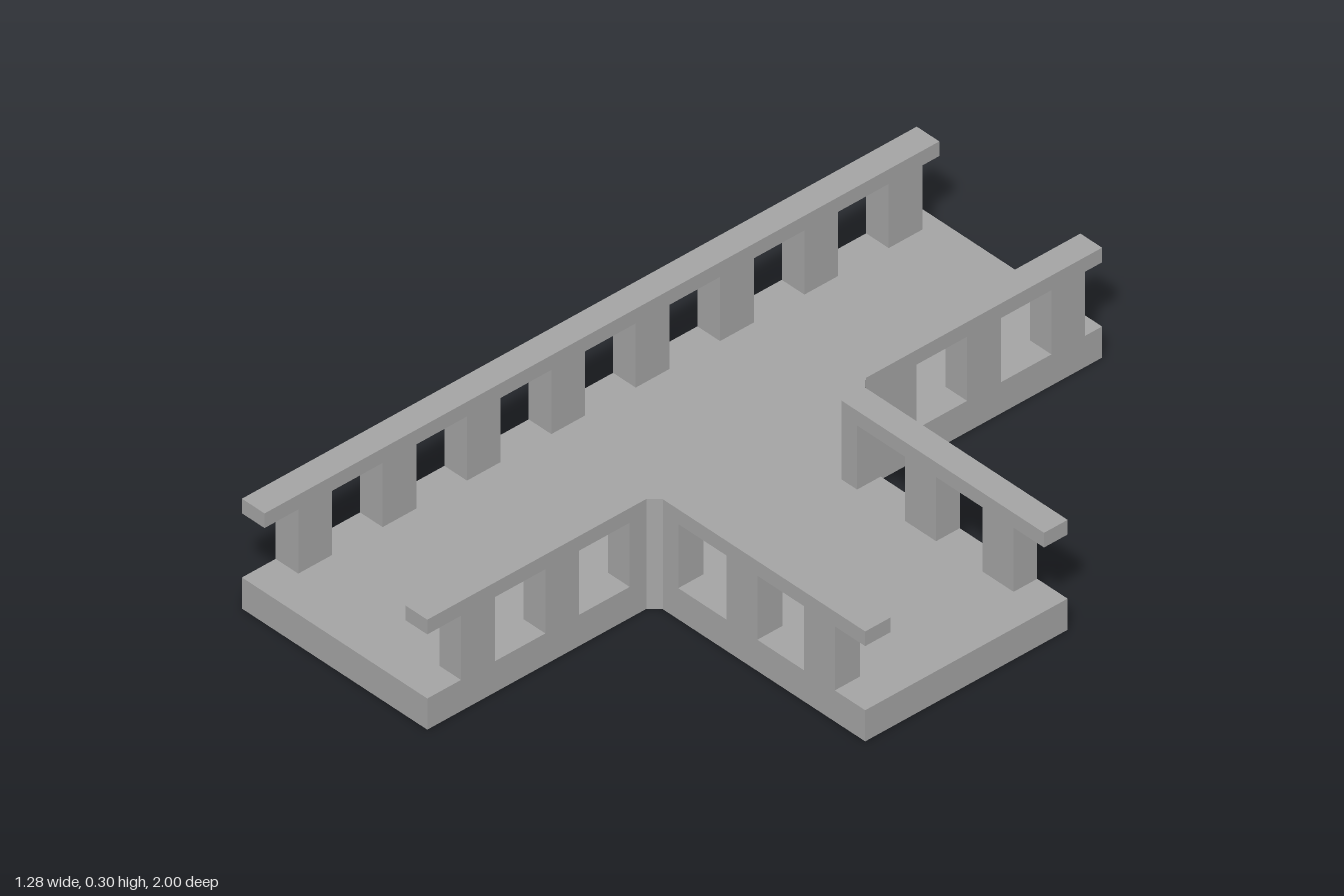
import * as THREE from 'three';

const FLOOR = 0.085, RAIL = 0.26, TOP = 0.3;

export function createModel() {
  const model = new THREE.Group();
  model.name = 'bridgeJunction';
  const stone = new THREE.MeshStandardMaterial({ color: 0xa6a6a6 });
  stone.name = 'grey stone';

  // Upright prism over an [x, z] outline, from height y0 to y1
  function prism(name, outline, y0, y1) {
    const shape = new THREE.Shape(outline.map(([x, z]) => new THREE.Vector2(x, -z)));
    const geometry = new THREE.ExtrudeGeometry(shape, { depth: y1 - y0, bevelEnabled: false });
    geometry.rotateX(-Math.PI / 2).translate(0, y0, 0);
    const mesh = new THREE.Mesh(geometry, stone);
    mesh.name = name;
    model.add(mesh);
  }

  // Post filling the space between floor and rail
  function post(name, x0, x1, z0, z1) {
    const mesh = new THREE.Mesh(new THREE.BoxGeometry(x1 - x0, RAIL - FLOOR, z1 - z0), stone);
    mesh.position.set((x0 + x1) / 2, (FLOOR + RAIL) / 2, (z0 + z1) / 2);
    mesh.name = name;
    model.add(mesh);
  }

  // T-shaped floor with chamfered inner corners
  prism('floor', [
    [-0.638, 1], [-0.04, 1], [-0.04, 0.35], [-0.015, 0.325], [0.638, 0.325],
    [0.638, -0.275], [-0.015, -0.275], [-0.04, -0.3], [-0.04, -1], [-0.638, -1],
  ], 0, FLOOR);

  // Long straight rail and its posts
  prism('longRail', [[-0.638, -1], [-0.565, -1], [-0.565, 1], [-0.638, 1]], RAIL, TOP);
  for (let i = 0; i < 8; i++) {
    post('longRailPost', -0.638, -0.565, -0.95 + i * 0.25, -0.85 + i * 0.25);
  }

  // Two angled rails; cornerEnd is where the solid corner stops along the main deck
  const corners = [
    { side: 'front', end: 1, turn: 0.35, outer: 0.325, inner: 0.25, cornerEnd: 0.4, posts: [0.55, 0.8] },
    { side: 'back', end: -1, turn: -0.3, outer: -0.275, inner: -0.205, cornerEnd: -0.45, posts: [-0.7, -0.95] },
  ];
  for (const { side, end, turn, outer, inner, cornerEnd, posts } of corners) {
    const bent = (z, x) => [
      [-0.11, z], [-0.04, z], [-0.04, turn], [-0.015, outer],
      [x, outer], [x, inner], [-0.015, inner], [-0.11, turn],
    ];
    prism(side + 'Rail', bent(end, 0.638), RAIL, TOP);
    prism(side + 'CornerPost', bent(cornerEnd, 0.035), FLOOR, RAIL);
    for (const z of posts) post(side + 'DeckPost', -0.11, -0.04, z, z + 0.1);
    for (const x of [0.19, 0.44]) {
      post(side + 'BranchPost', x, x + 0.1, Math.min(inner, outer), Math.max(inner, outer));
    }
  }
  return model;
}
